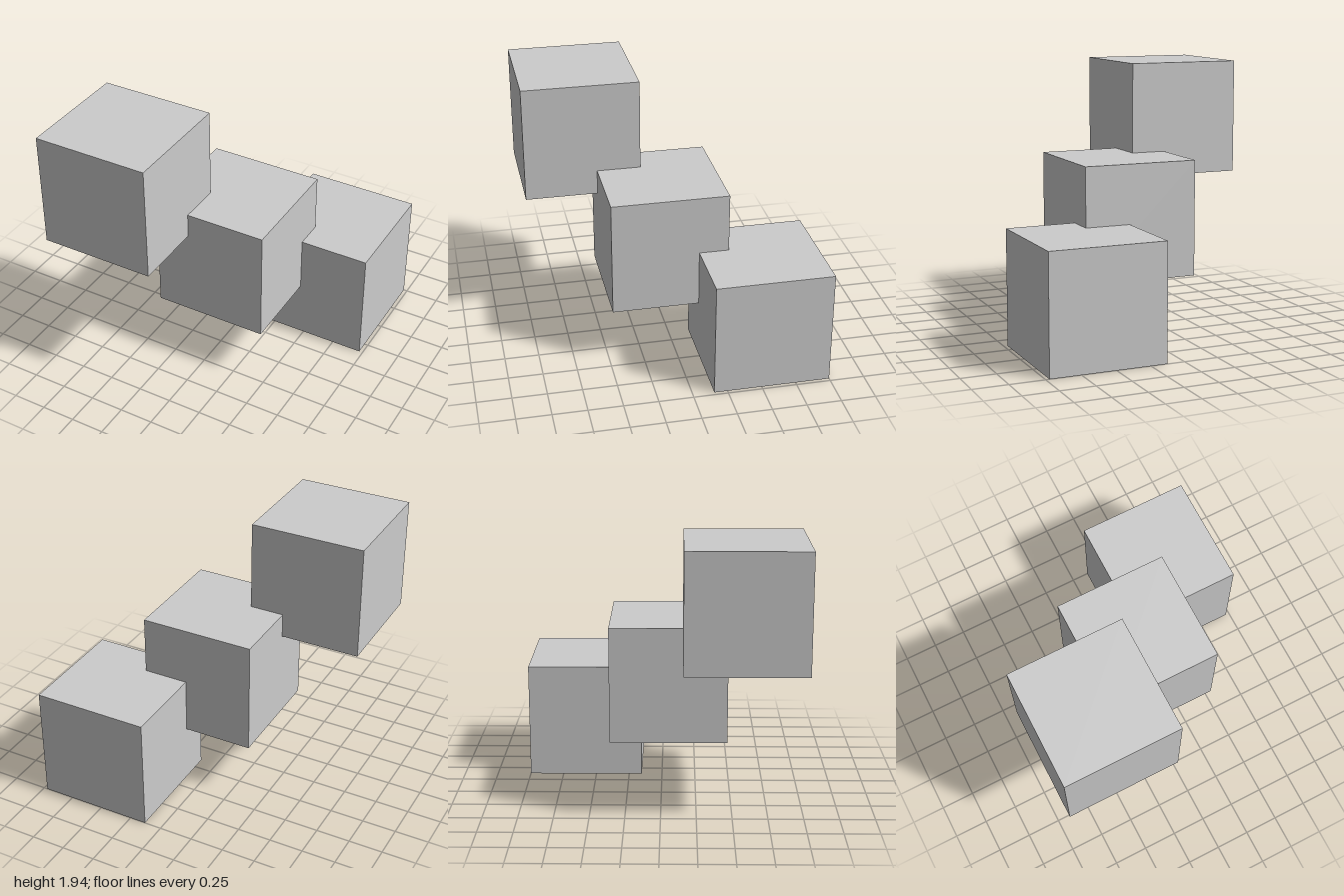
import * as THREE from 'three';

const SIZE = 0.845;

export function createModel() {
  const group = new THREE.Group();
  group.name = 'cubeStaircase';

  const geometry = new THREE.BoxGeometry(SIZE, SIZE, SIZE);
  const material = new THREE.MeshStandardMaterial({ color: 0xcccccc, flatShading: true });

  // Three equal cubes overlapping at their corners, descending towards the back left
  const centres = {
    upperCube: [-0.551, 1.517, 0.577],
    middleCube: [0.039, 0.853, 0.052],
    lowerCube: [0.551, SIZE / 2, -0.577],
  };
  for (const [name, centre] of Object.entries(centres)) {
    const cube = new THREE.Mesh(geometry, material);
    cube.name = name;
    cube.position.set(...centre);
    group.add(cube);
  }
  return group;
}
